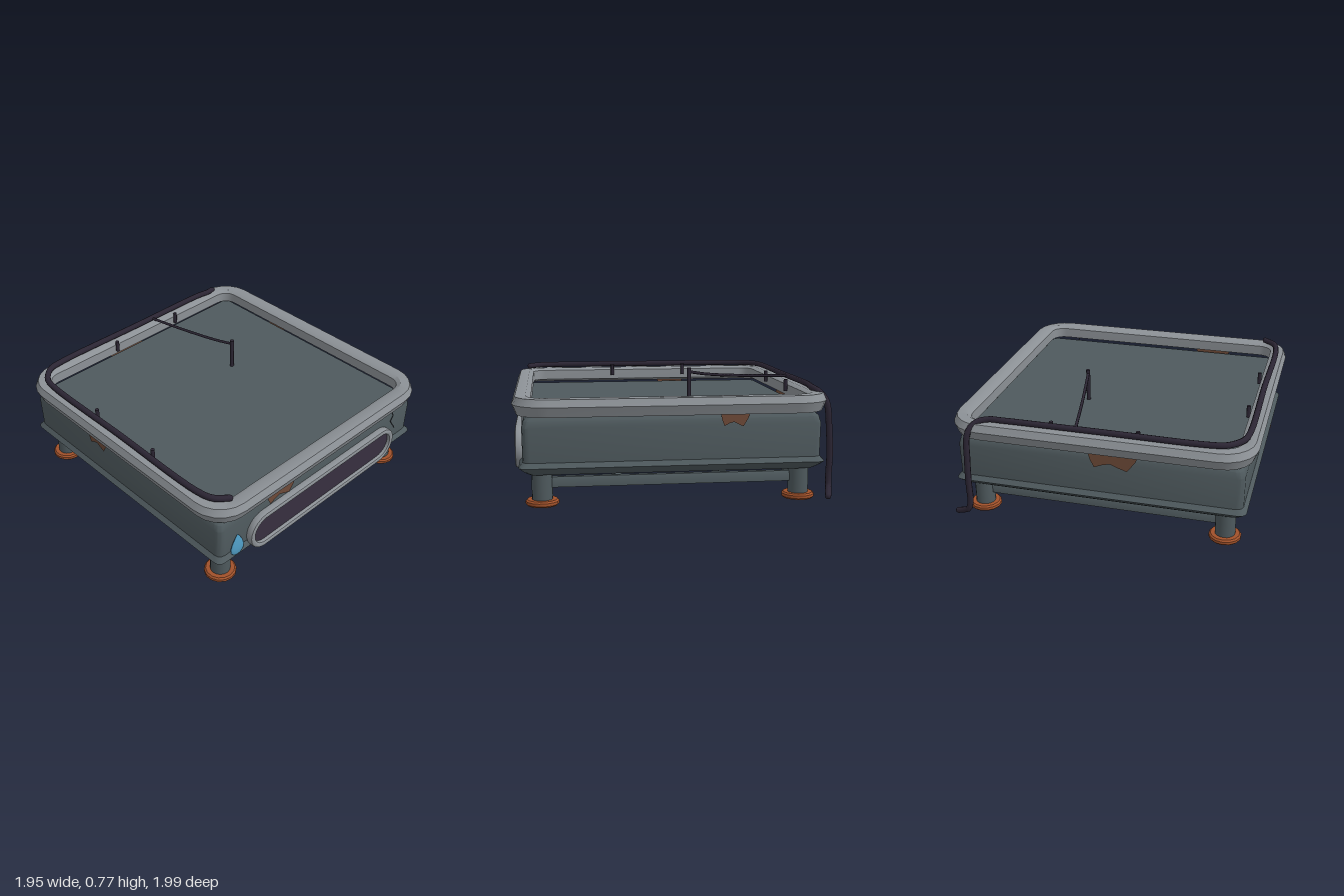
import * as THREE from 'three';
import { toCreasedNormals } from 'three/addons/utils/BufferGeometryUtils.js';

const CZ = 0.018; // middle of the body along z
const mat = (color, side = THREE.FrontSide) => new THREE.MeshStandardMaterial({ color, side });
const STEEL = mat(0x4e595d);
const TRIM = mat(0x8c9196);
const PIPE = mat(0x2b2533);
const GLASS = mat(0x372f3f);
const FOOT = mat(0xa0512a);
const RUST = mat(0x6e4a38, THREE.DoubleSide);
const WATER = mat(0x4f9cc4);
const CRACK = mat(0x22262a);

// Rounded-square cross-sections [half size, height, corner radius] joined in order
function loft(profile, segs, closed) {
  const pos = [], idx = [], n = 4 * (segs + 1);
  for (const [h, y, r] of profile) {
    for (let c = 0; c < 4; c++) {
      const mid = (c + 0.5) * Math.PI / 2;
      const cx = Math.sign(Math.cos(mid)) * (h - r), cz = Math.sign(Math.sin(mid)) * (h - r);
      for (let s = 0; s <= segs; s++) {
        const a = (c + s / segs) * Math.PI / 2;
        pos.push(cx + r * Math.cos(a), y, cz + r * Math.sin(a));
      }
    }
  }
  const m = profile.length;
  for (let j = 0; j < (closed ? m : m - 1); j++) {
    const k = (j + 1) % m;
    for (let i = 0; i < n; i++) {
      const i2 = (i + 1) % n;
      idx.push(j * n + i, k * n + i, j * n + i2, j * n + i2, k * n + i, k * n + i2);
    }
  }
  const g = new THREE.BufferGeometry();
  g.setAttribute('position', new THREE.Float32BufferAttribute(pos, 3));
  g.setIndex(idx);
  return toCreasedNormals(g, 0.6);
}

// Long pill outline for the window
function pill(Type, halfLength, r) {
  const p = new Type();
  p.absarc(halfLength, 0, r, -Math.PI / 2, Math.PI / 2, false);
  p.absarc(-halfLength, 0, r, Math.PI / 2, Math.PI * 1.5, false);
  p.closePath();
  return p;
}

export function createModel() {
  const model = new THREE.Group();
  const add = (name, geo, material, x = 0, y = 0, z = 0) => {
    const mesh = new THREE.Mesh(geo, material);
    mesh.name = name;
    mesh.position.set(x, y, z);
    model.add(mesh);
    return mesh;
  };
  const curve = (pts) => new THREE.CatmullRomCurve3(pts.map((p) => new THREE.Vector3(...p)), false, 'centripetal');

  // Body with a lower flange and flat underside
  add('body', loft([
    [0, 0.2, 0], [0.88, 0.2, 0.05], [0.91, 0.222, 0.045],
    [0.938, 0.25, 0.045], [0.914, 0.28, 0.045], [0.917, 0.49, 0.045], [0.906, 0.53, 0.045],
    [0.885, 0.552, 0.045], [0, 0.552, 0],
  ], 3), STEEL, 0, 0, CZ);

  // Raised rim, its inner edge standing clear of the top plate
  add('rim', loft([
    [0.86, 0.58, 0.09], [0.95, 0.557, 0.19], [0.976, 0.62, 0.22],
    [0.955, 0.665, 0.2], [0.89, 0.667, 0.13], [0.86, 0.65, 0.09],
  ], 5, true), TRIM, 0, 0, CZ);

  // Legs and feet
  const footProfile = [[0, 0], [0.092, 0], [0.102, 0.01], [0.102, 0.027], [0.092, 0.037], [0, 0.037]]
    .map(([x, y]) => new THREE.Vector2(x, y));
  for (const x of [-0.8, 0.8]) {
    for (const z of [CZ - 0.8, CZ + 0.8]) {
      add('leg', new THREE.CylinderGeometry(0.064, 0.064, 0.21, 16), STEEL, x, 0.13, z);
      add('foot', toCreasedNormals(new THREE.LatheGeometry(footProfile, 14), 0.6), FOOT, x, 0, z);
    }
  }

  // Underframe: rounded ring through the legs with two cross bars
  add('underframe', loft([
    [0.777, 0.11, 0.06], [0.823, 0.11, 0.1], [0.823, 0.155, 0.1], [0.812, 0.173, 0.09], [0.777, 0.173, 0.06],
  ], 4, true), STEEL, 0, 0, CZ);
  for (const s of [-1, 1]) {
    add('crossBar', new THREE.BoxGeometry(1.58, 0.05, 0.05), STEEL, 0, 0.14, CZ + s * 0.33);
  }

  // Front window: bevelled frame and dark panel
  const frame = pill(THREE.Shape, 0.56, 0.122);
  frame.holes.push(pill(THREE.Path, 0.56, 0.106));
  add('windowFrame', toCreasedNormals(new THREE.ExtrudeGeometry(frame, {
    depth: 0.024, curveSegments: 7, bevelThickness: 0.014, bevelSize: 0.011, bevelSegments: 2,
  }), 0.6), TRIM, 0, 0.32, 0.944);
  add('windowPanel', new THREE.ExtrudeGeometry(pill(THREE.Shape, 0.56, 0.1), {
    depth: 0.03, curveSegments: 7, bevelEnabled: false,
  }), GLASS, 0, 0.32, 0.928);

  // Water drop
  const dropProfile = [[0, 0], [0.03, 0.008], [0.05, 0.032], [0.054, 0.062], [0.042, 0.1], [0.02, 0.142], [0, 0.172]]
    .map(([x, y]) => new THREE.Vector2(x, y));
  add('waterDrop', new THREE.LatheGeometry(dropProfile, 16), WATER, -0.78, 0.24, 0.945).scale.z = 0.3;

  // Rust patches hanging from the top edge, one per side
  const ragged = [[0, 0], [1, 0], [0.95, -0.35], [0.78, -1], [0.62, -0.85], [0.45, -0.65], [0.3, -0.75], [0.13, -0.95], [0.05, -0.5]];
  const patch = (w, h, x, z, turn) => {
    const shape = new THREE.Shape(ragged.map(([u, v]) => new THREE.Vector2((u - 0.5) * w, v * h)));
    add('rustPatch', new THREE.ShapeGeometry(shape), RUST, x, 0.56, z).rotation.y = turn;
  };
  patch(0.26, 0.1, -0.4, CZ + 0.926, 0);
  patch(0.18, 0.08, 0.926, -0.35, Math.PI / 2);
  patch(0.32, 0.11, -0.11, CZ - 0.926, Math.PI);
  patch(0.2, 0.09, -0.926, -0.2, -Math.PI / 2);

  // Crack in the front wall
  const crack = [[0.68, 0.555], [0.725, 0.48], [0.7, 0.44], [0.755, 0.36]];
  for (let i = 0; i < 3; i++) {
    const [ax, ay] = crack[i], [bx, by] = crack[i + 1];
    const line = add('crack', new THREE.BoxGeometry(Math.hypot(bx - ax, by - ay), 0.006, 0.004), CRACK,
      (ax + bx) / 2, (ay + by) / 2, CZ + 0.917);
    line.rotation.z = Math.atan2(by - ay, bx - ax);
  }

  // Pipe along the rim that drops down the back corner
  const pipe = curve([
    [-0.805, 0.692, 0.905], [-0.875, 0.692, 0.84], [-0.903, 0.692, 0.74], [-0.905, 0.692, 0], [-0.905, 0.692, -0.68],
    [-0.885, 0.692, -0.78], [-0.8, 0.692, -0.87], [-0.7, 0.692, -0.89], [0, 0.692, -0.89], [0.6, 0.692, -0.89],
    [0.7, 0.686, -0.885], [0.77, 0.668, -0.91], [0.812, 0.61, -0.95], [0.82, 0.42, -0.972],
    [0.82, 0.25, -0.979], [0.82, 0.14, -0.975], [0.835, 0.075, -0.972], [0.87, 0.05, -0.96], [0.925, 0.028, -0.943],
  ]);
  add('pipe', new THREE.TubeGeometry(pipe, 140, 0.02, 8), PIPE);
  for (const t of [0, 1]) {
    add('pipeEnd', new THREE.SphereGeometry(0.02, 8, 6), PIPE).position.copy(pipe.getPoint(t));
  }

  // Short pegs inside the rim
  for (const [x, z] of [[-0.845, -0.29], [-0.845, 0.265], [-0.25, -0.825], [0.305, -0.825]]) {
    add('peg', new THREE.CylinderGeometry(0.013, 0.013, 0.08, 8), PIPE, x, 0.65, z);
  }

  // Upright post and the wire running back to the pipe
  add('post', new THREE.CylinderGeometry(0.014, 0.014, 0.215, 8), PIPE, 0.265, 0.665, -0.17);
  const wire = curve([[0.265, 0.745, -0.17], [0.24, 0.725, -0.3], [0.19, 0.707, -0.55], [0.13, 0.695, -0.87]]);
  add('wire', new THREE.TubeGeometry(wire, 20, 0.01, 6), PIPE);

  return model;
}
